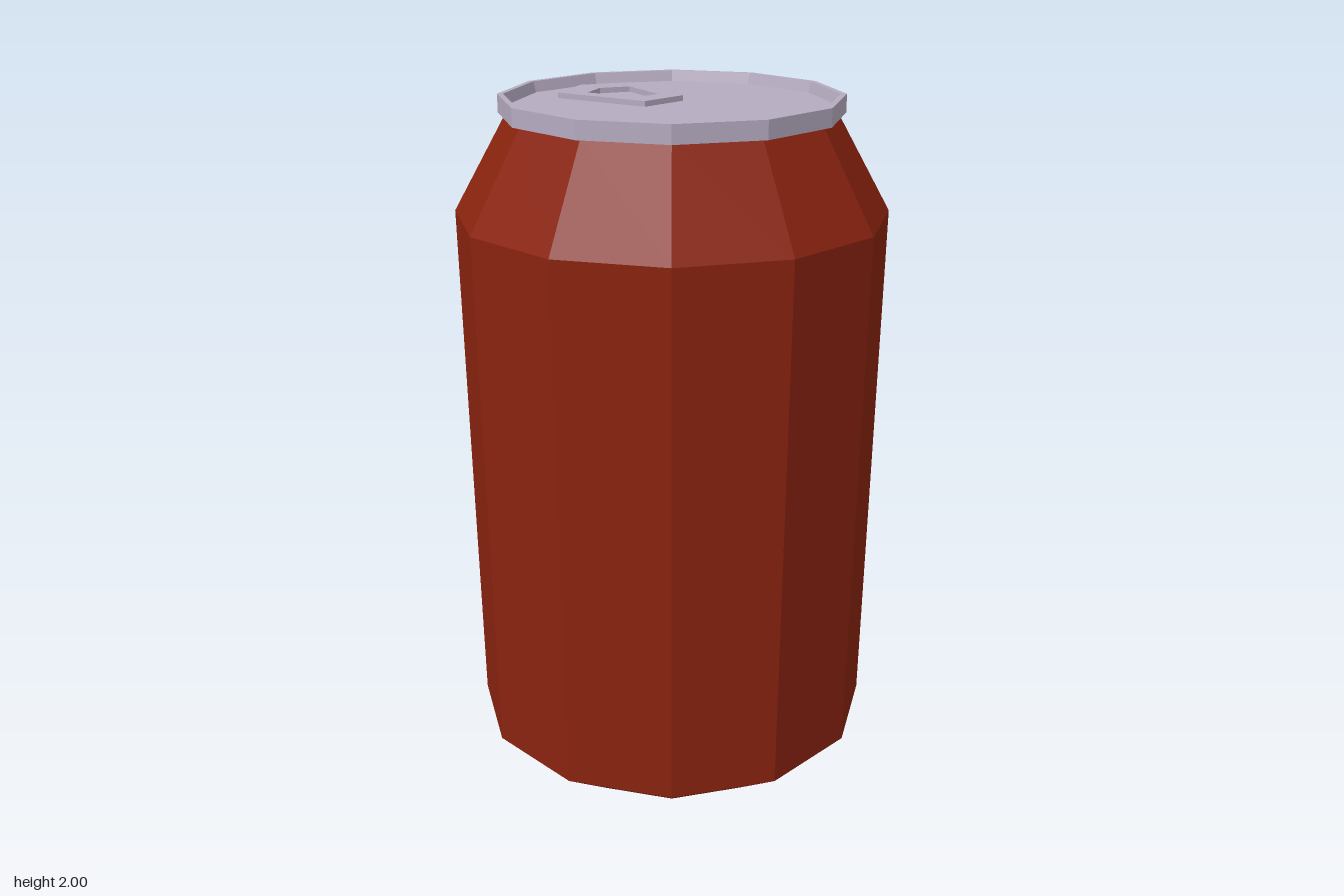
import * as THREE from 'three';

const SIDES = 12;
const TURN = Math.PI / SIDES; // flat facets face the axes

export function createModel() {
  const model = new THREE.Group();
  const red = new THREE.MeshStandardMaterial({ color: 0x8a230f, flatShading: true });
  red.name = 'red paint';
  const silver = new THREE.MeshStandardMaterial({ color: 0xb5abc0, flatShading: true });
  silver.name = 'silver metal';

  const add = (name, geometry, material) => {
    const mesh = new THREE.Mesh(geometry, material);
    mesh.name = name;
    model.add(mesh);
    return mesh;
  };
  const turned = (points) => new THREE.LatheGeometry(
    points.map(([r, y]) => new THREE.Vector2(r, y)), SIDES, TURN);
  const disc = (r, y, facing) => new THREE.CircleGeometry(r, SIDES, TURN)
    .rotateX(-facing * Math.PI / 2).translate(0, y, 0);

  // Painted wall: bottom bevel, slightly flared side, shoulder
  add('body', turned([[0.402, 0], [0.589, 0.14], [0.605, 1.68], [0.452, 1.95]]), red);

  // Bare metal base, rim and recessed lid
  add('base', disc(0.402, 0, -1), silver);
  add('rim', turned([[0.452, 1.95], [0.474, 1.95], [0.474, 2], [0.458, 2], [0.449, 1.97]]), silver);
  add('lid', disc(0.449, 1.97, 1), silver);

  // Five-sided pull tab with a matching hole, lying on the lid towards the back
  const outline = (tip, shoulderX, shoulder, footX, foot) => [
    [-footX, foot], [footX, foot], [shoulderX, shoulder], [0, tip], [-shoulderX, shoulder],
  ].map(([x, y]) => new THREE.Vector2(x, y));
  const tab = new THREE.Shape(outline(0.375, 0.14, 0.31, 0.073, 0.03));
  tab.holes.push(new THREE.Path(outline(0.29, 0.08, 0.253, 0.041, 0.095).reverse()));
  const tabGeometry = new THREE.ExtrudeGeometry(tab, { depth: 0.015, bevelEnabled: false })
    .rotateX(-Math.PI / 2).translate(0, 1.97, 0);
  add('pullTab', tabGeometry, silver);

  return model;
}
